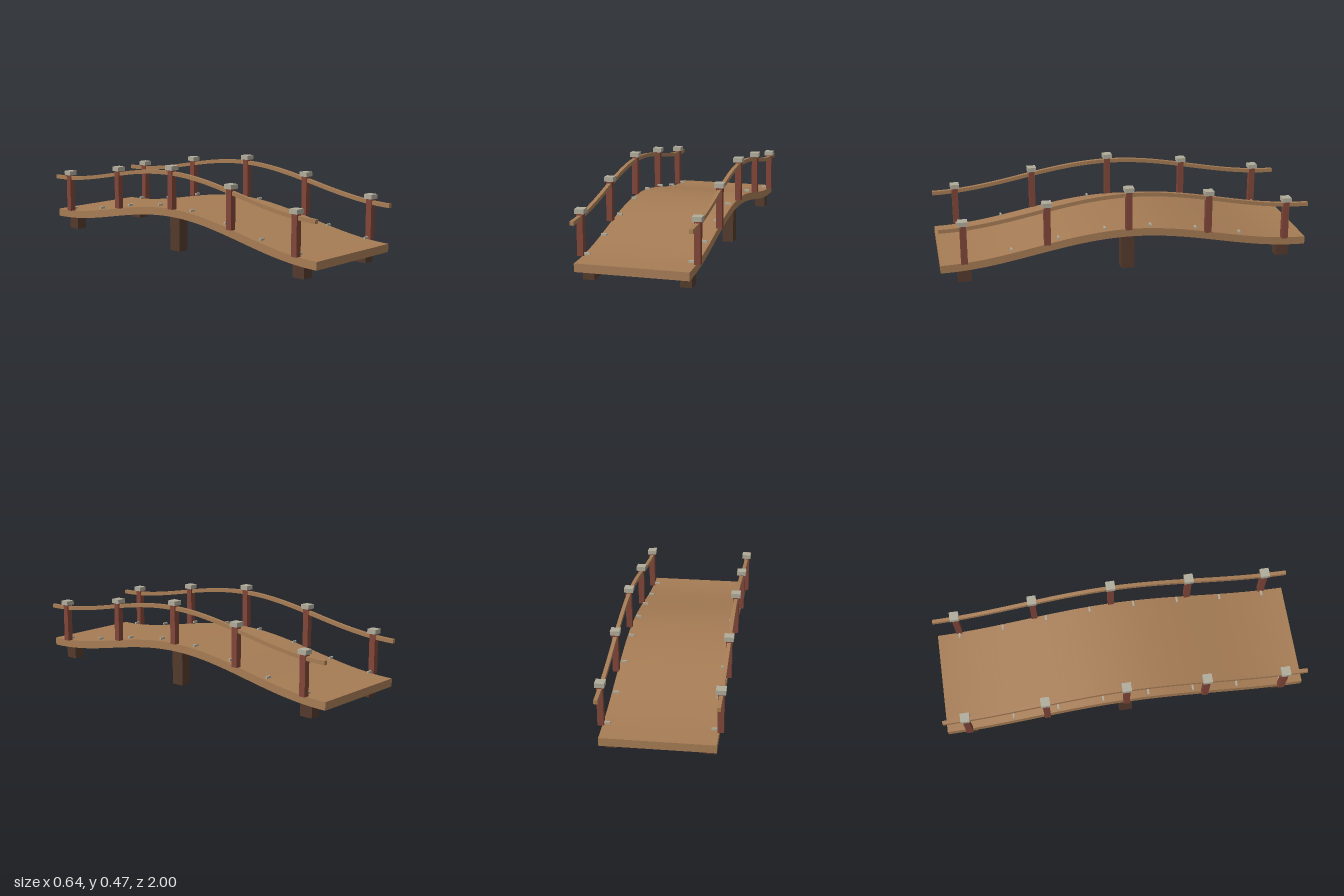
import * as THREE from 'three';

const DECK_TOP = 0.105, RISE = 0.125;
const arch = z => RISE * (1 + Math.cos(Math.PI * z)) / 2;

const mat = (name, color) => Object.assign(new THREE.MeshStandardMaterial({ color }), { name });

export function createModel() {
  const group = new THREE.Group();
  const wood = mat('warm wood', 0xa67c55);
  const red = mat('red wood', 0x804538);
  const dark = mat('dark wood', 0x543a2c);
  const stone = mat('pale stone', 0xb0ac9b);

  const add = (name, geometry, material, x, y, z) => {
    const mesh = new THREE.Mesh(geometry, material);
    mesh.name = name;
    mesh.position.set(x, y, z);
    group.add(mesh);
  };

  // A long beam whose cross-section follows the arch
  const archedBeam = (width, height) => {
    const g = new THREE.BoxGeometry(width, height, 2, 1, 1, 48);
    const p = g.attributes.position;
    for (let i = 0; i < p.count; i++) p.setY(i, p.getY(i) + arch(p.getZ(i)));
    g.computeVertexNormals();
    return g;
  };

  add('deck', archedBeam(0.577, 0.043), wood, 0, DECK_TOP - 0.0215, 0);

  const rail = archedBeam(0.02, 0.021);
  const post = new THREE.BoxGeometry(0.032, 0.213, 0.034);
  const cap = new THREE.BoxGeometry(0.05, 0.024, 0.05);
  const peg = new THREE.BoxGeometry(0.03, 0.011, 0.01);

  for (const side of [-1, 1]) {
    add('handrail', rail, wood, side * 0.295, 0.302, 0);

    // Railing posts with caps
    for (let i = -2; i <= 2; i++) {
      const z = i * 0.4375, base = DECK_TOP + arch(z) + 0.002;
      add('railingPost', post, red, side * 0.296, base + 0.1065, z);
      add('postCap', cap, stone, side * 0.295, base + 0.225, z);
    }

    // Small pegs along the deck edge
    for (let i = 0; i < 8; i++) {
      const z = -0.875 + i * 0.25;
      add('deckPeg', peg, stone, side * 0.265, DECK_TOP + arch(z) + 0.012, z);
    }

    // Supports reaching from the ground into the deck
    for (const z of [-0.875, 0, 0.875]) {
      const h = DECK_TOP - 0.038 + arch(z);
      add('support', new THREE.BoxGeometry(0.06, h, 0.072), dark, side * 0.246, h / 2, z);
    }
  }
  return group;
}
